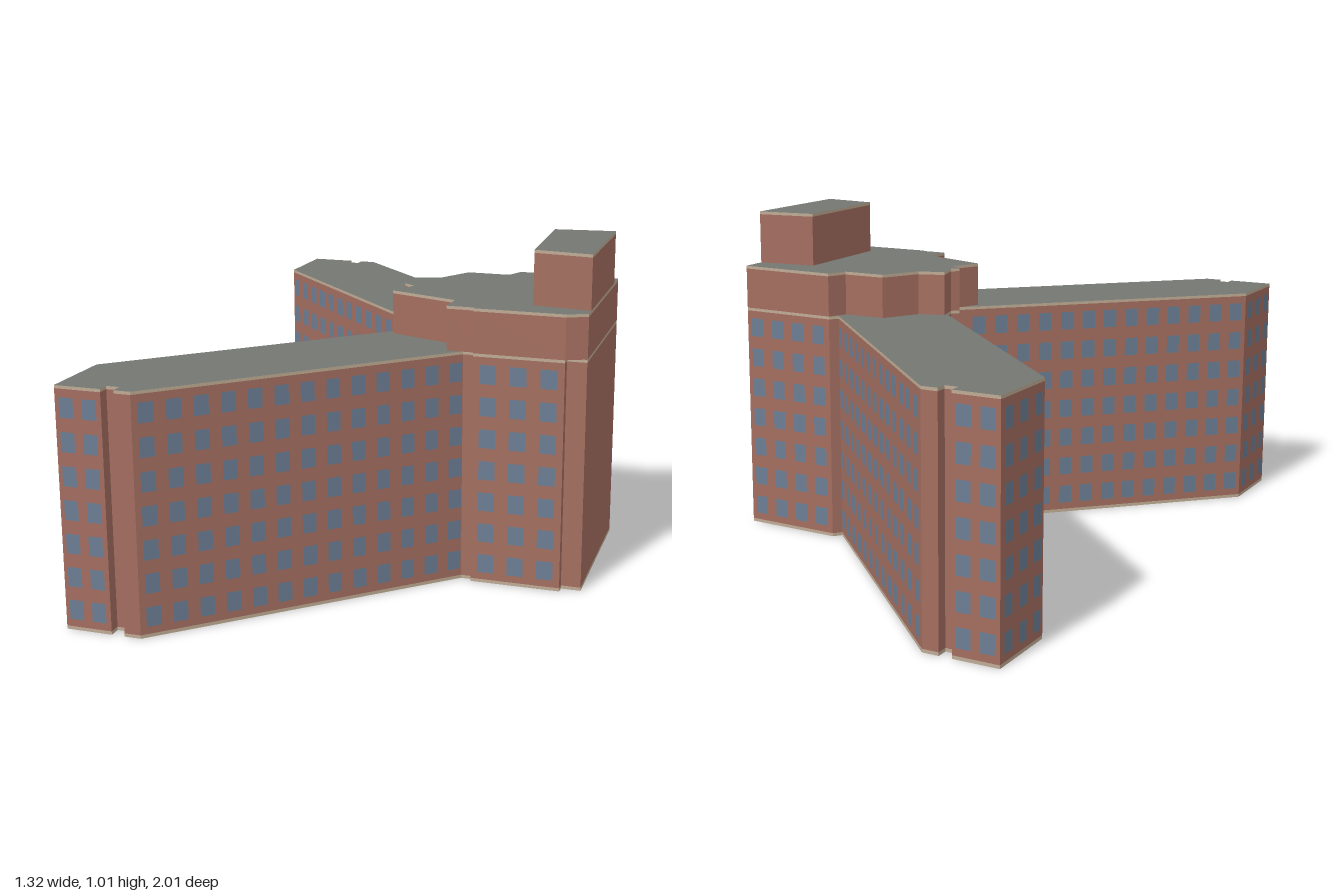
import * as THREE from 'three';
import { mergeGeometries } from 'three/addons/utils/BufferGeometryUtils.js';

const mat = (name, color) => {
  const m = new THREE.MeshStandardMaterial({ color, side: THREE.DoubleSide });
  m.name = name;
  return m;
};

// Footprints as [x, z], running clockwise seen from above
const wingEnd = [[-0.66, -0.76], [-0.66, -1], [-0.52, -1], [-0.52, -0.965], [-0.48, -0.965], [-0.48, -1], [-0.43, -1]];
const mirrored = wingEnd.map(([x, z]) => [x, -z]).reverse();
const bodyPlan = [
  ...wingEnd,
  [0.30, -0.27], [0.32, -0.295], [0.64, -0.283], [0.66, 0.27], [0.60, 0.27], [0.60, 0.295],
  [0.325, 0.295], [0.325, 0.28], [0.29, 0.28],
  ...mirrored,
  [0.06, 0.04], [0.02, 0], [0.04, -0.02], [0.03, -0.07],
];
const upperPlan = [
  [0.02, -0.095], [0.10, -0.12], [0.16, -0.235], [0.295, -0.235], [0.32, -0.295], [0.64, -0.283],
  [0.66, 0.265], [0.60, 0.295], [0.325, 0.295], [0.325, 0.285], [0.24, 0.285], [0.24, 0.20],
  [0.02, 0.12], [0.06, 0.03], [0.02, 0], [0.04, -0.02],
];
const towerPlan = [[0.455, -0.178], [0.643, -0.2], [0.658, 0.225], [0.48, 0.2]];

// Open ring of wall faces along a footprint
function wallRing(plan, y0, y1) {
  const pos = [];
  plan.forEach(([ax, az], i) => {
    const [bx, bz] = plan[(i + 1) % plan.length];
    pos.push(ax, y0, az, ax, y1, az, bx, y1, bz, ax, y0, az, bx, y1, bz, bx, y0, bz);
  });
  const g = new THREE.BufferGeometry();
  g.setAttribute('position', new THREE.Float32BufferAttribute(pos, 3));
  g.computeVertexNormals();
  return g;
}

function roofSlab(plan, y) {
  const shape = new THREE.Shape(plan.map(([x, z]) => new THREE.Vector2(x, -z)));
  return new THREE.ShapeGeometry(shape).rotateX(-Math.PI / 2).translate(0, y, 0);
}

// Seven floors of windows, evenly spaced along the wall from a to b
function windowGrid([ax, az], [bx, bz], cols, width) {
  const dx = bx - ax, dz = bz - az, len = Math.hypot(dx, dz);
  const nx = dz / len, nz = -dx / len;
  const list = [];
  for (let row = 0; row < 7; row++) {
    for (let c = 0; c < cols; c++) {
      const t = (c + 0.5) / cols;
      list.push(new THREE.PlaneGeometry(width, 0.058)
        .rotateY(Math.atan2(nx, nz))
        .translate(ax + dx * t + nx * 0.003, 0.062 + row * 0.0983, az + dz * t + nz * 0.003));
    }
  }
  return mergeGeometries(list);
}

export function createModel() {
  const brick = mat('brick', 0xa46e60);
  const trim = mat('stone trim', 0xbfab94);
  const roof = mat('roof grey', 0x747772);
  const glass = mat('window blue', 0x6b7d93);
  const model = new THREE.Group();
  model.name = 'building';
  const add = (parent, name, geometry, material) => {
    const mesh = new THREE.Mesh(geometry, material);
    mesh.name = name;
    parent.add(mesh);
  };

  // Stacked tiers: walls, a pale coping and a flat roof
  const tiers = [
    ['mainBody', bodyPlan, 0.01, 0.713],
    ['upperStorey', upperPlan, 0.713, 0.848],
    ['roofTower', towerPlan, 0.848, 1.013],
  ];
  for (const [name, plan, y0, y1] of tiers) {
    const tier = new THREE.Group();
    tier.name = name;
    add(tier, name + 'Walls', wallRing(plan, y0, y1 - 0.009), brick);
    add(tier, name + 'Coping', wallRing(plan, y1 - 0.009, y1), trim);
    add(tier, name + 'Roof', roofSlab(plan, y1), roof);
    model.add(tier);
  }
  add(model, 'baseTrim', wallRing(bodyPlan, 0, 0.01), trim);

  // Windows by wall
  const walls = [
    ['backWingSideWindows', [-0.66, -0.76], [-0.66, -1], 3, 0.043],
    ['backWingEndWindows', [-0.66, -1], [-0.52, -1], 2, 0.043],
    ['backWingOuterWindows', [-0.43, -1], [0.30, -0.27], 13, 0.043],
    ['backWingInnerWindows', [0.03, -0.07], [-0.66, -0.76], 13, 0.043],
    ['coreBackWindows', [0.32, -0.295], [0.64, -0.283], 4, 0.045],
    ['coreFrontWindows', [0.60, 0.295], [0.325, 0.295], 3, 0.05],
    ['frontWingOuterWindows', [0.30, 0.27], [-0.43, 1], 13, 0.043],
    ['frontWingEndWindows', [-0.52, 1], [-0.66, 1], 2, 0.043],
    ['frontWingSideWindows', [-0.66, 1], [-0.66, 0.76], 3, 0.043],
    ['frontWingInnerWindows', [-0.66, 0.76], [0.03, 0.07], 13, 0.043],
  ];
  for (const [name, a, b, cols, width] of walls) add(model, name, windowGrid(a, b, cols, width), glass);

  return model;
}
